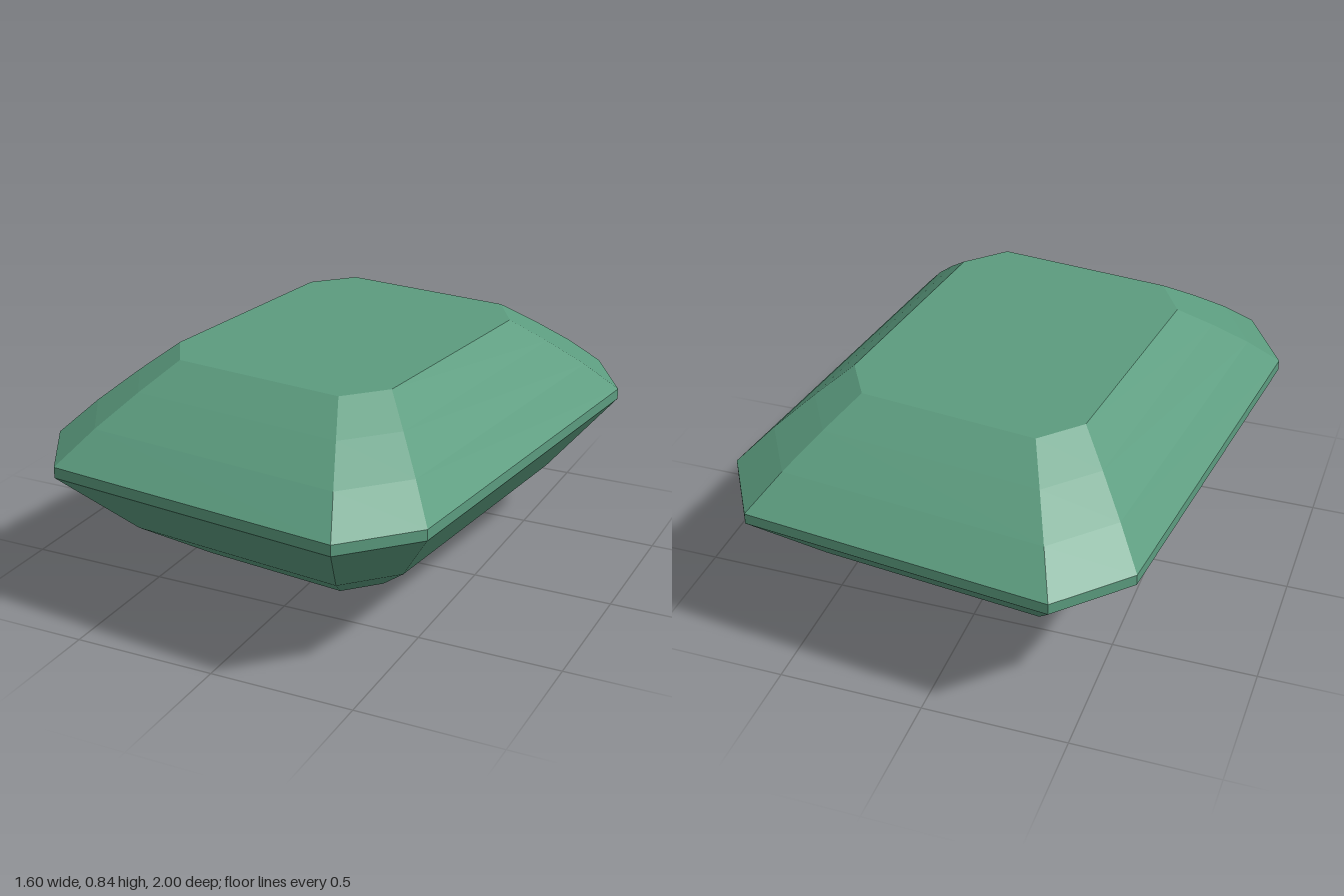
import * as THREE from 'three';

// Gem outline: a rectangle with cut corners, listed from +x round towards +z
const W = 0.726, D = 0.946, CUT = 0.74;
const OUTLINE = [
  [W, -D * CUT], [W, D * CUT], [W * CUT, D], [-W * CUT, D],
  [-W, D * CUT], [-W, -D * CUT], [-W * CUT, -D], [W * CUT, -D],
];

// Step-cut levels: [height, outline scale], bottom to top
const PAVILION = [[0, 0.22], [0.107, 0.5], [0.263, 0.74], [0.507, 1]];
const GIRDLE = [[0.507, 1], [0.545, 1]];
const CROWN = [[0.545, 1], [0.652, 0.865], [0.751, 0.72], [0.839, 0.58]];

const ring = ([y, s]) => OUTLINE.map(([x, z]) => [x * s, y, z * s]);

function facetGeometry(triangles) {
  const geometry = new THREE.BufferGeometry();
  geometry.setAttribute('position', new THREE.Float32BufferAttribute(triangles.flat(2), 3));
  geometry.computeVertexNormals();
  return geometry;
}

// Facets joining each level to the next
function steps(levels) {
  const triangles = [];
  for (let k = 0; k < levels.length - 1; k++) {
    const low = ring(levels[k]), high = ring(levels[k + 1]);
    for (let i = 0; i < 8; i++) {
      const j = (i + 1) % 8;
      triangles.push([low[i], high[i], high[j]], [low[i], high[j], low[j]]);
    }
  }
  return facetGeometry(triangles);
}

// Flat octagonal face closing one end
function cap(level, facesUp) {
  const points = ring(level), centre = [0, level[0], 0];
  return facetGeometry(points.map((p, i) => {
    const next = points[(i + 1) % 8];
    return facesUp ? [centre, next, p] : [centre, p, next];
  }));
}

export function createModel() {
  const gem = new THREE.Group();
  gem.name = 'gem';
  const green = new THREE.MeshStandardMaterial({ color: 0x5c9c7f });
  green.name = 'emerald green';
  green.flatShading = true;

  const parts = {
    pavilion: steps(PAVILION),
    girdle: steps(GIRDLE),
    crown: steps(CROWN),
    table: cap(CROWN[3], true),
    culet: cap(PAVILION[0], false),
  };
  for (const [name, geometry] of Object.entries(parts)) {
    const mesh = new THREE.Mesh(geometry, green);
    mesh.name = name;
    gem.add(mesh);
  }

  // The stone sits slightly turned
  gem.rotation.y = -0.113;
  const model = new THREE.Group();
  model.name = 'gemstone';
  model.add(gem);
  return model;
}
